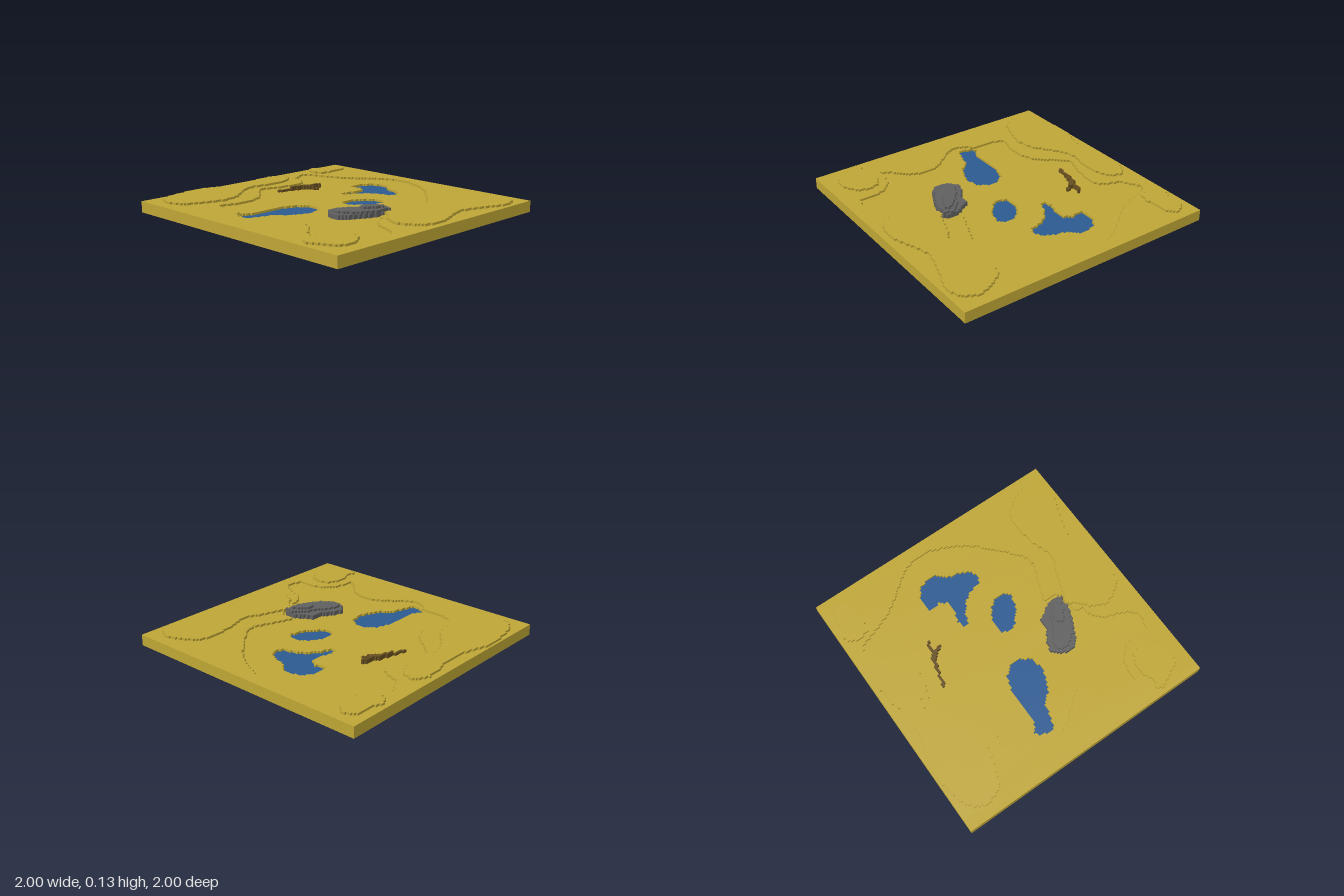
import * as THREE from 'three';

const N = 120, CELL = 2 / N; // grid cells per side, and cell size (also the layer height)
const material = (name, color) => new THREE.MeshStandardMaterial({ name, color });

// Outlines as x, z pairs
const basin = [-.9, -.5, -.87, -.55, -.73, -.6, -.62, -.64, -.52, -.7, -.42, -.78, -.33, -.85, -.22, -.9, -.08, -.9, .03, -.86,
  .13, -.81, .24, -.73, .33, -.63, .42, -.53, .5, -.43, .51, -.35, .46, -.24, .42, -.13, .39, -.07, .44, -.06, .5, -.07, .53, -.02,
  .53, .12, .6, .14, .61, .22, .7, .3, .8, .33, .88, .38, .91, .43, .87, .54, .74, .53, .66, .56, .59, .64, .57, .72, .56, .8,
  .5, .77, .44, .7, .36, .63, .22, .61, .12, .66, .03, .73, -.05, .79, -.13, .8, -.2, .77, -.25, .71, -.42, .71, -.49, .7,
  -.5, .64, -.46, .53, -.46, .42, -.52, .28, -.65, .18, -.71, .12, -.71, .05, -.67, -.05, -.65, -.18, -.66, -.28, -.72, -.33, -.82, -.36];
const hills = [
  [-.9, -.3, -.82, -.28, -.76, -.2, -.75, 0, -.78, .12, -.75, .22, -.68, .33, -.6, .43, -.57, .58, -.6, .7, -.66, .85, -.72, .9,
    -.82, .92, -.9, .87, -.95, .78, -.98, .6, -.98, .45, -.93, .3, -.91, .17, -.92, .02, -.95, -.08, -.96, -.2],
  [.52, 0, .55, -.03, .57, -.1, .6, -.2, .64, -.25, .65, -.36, .6, -.5, .58, -.7, .6, -.8, .7, -.87, .82, -.92, .93, -.87, .96, -.8,
    .96, -.7, .9, -.55, .85, -.37, .88, -.25, .94, -.1, .96, .02, .92, .13, .82, .2, .75, .22, .65, .17, .58, .08, .52, .05],
  [-.97, -.68, -.93, -.75, -.94, -.85, -.9, -.92, -.83, -.93, -.79, -.88, -.79, -.78, -.77, -.7, -.79, -.62, -.87, -.6, -.93, -.62],
  [.65, .95, .67, .88, .64, .82, .63, .72, .67, .64, .75, .61, .83, .64, .89, .72, .91, .8, .87, .88, .77, .92, .7, .96],
];
const ponds = [
  [-.33, -.5, -.33, -.62, -.29, -.69, -.21, -.72, -.14, -.71, -.08, -.65, .03, -.62, .1, -.58, .12, -.51, .09, -.47, 0, -.45,
    -.06, -.41, -.12, -.34, -.15, -.26, -.2, -.24, -.21, -.31, -.18, -.39, -.18, -.47, -.24, -.51],
  [0, -.06, 0, -.17, .05, -.25, .1, -.3, .19, -.3, .23, -.26, .22, -.19, .18, -.12, .12, -.05, .08, -.03, .03, -.04],
  [-.2, .35, -.16, .24, -.09, .19, 0, .19, .06, .24, .08, .32, .07, .4, .02, .5, -.06, .56, -.08, .65, -.11, .74, -.16, .75,
    -.23, .73, -.25, .69, -.21, .65, -.2, .5],
];
const rockTiers = [
  [.2, .28, .22, .21, .28, .12, .28, .04, .36, 0, .41, -.03, .5, -.03, .51, .07, .46, .2, .42, .28, .37, .34, .3, .35, .24, .32],
  [.25, .25, .27, .2, .33, .12, .37, .03, .44, -.03, .51, -.02, .5, .1, .45, .2, .4, .27, .33, .31, .26, .31],
  [.36, .1, .4, .03, .46, 0, .48, .02, .46, .08, .41, .15, .37, .14],
];
const branches = [
  [-.57, .04, -.55, -.05, -.53, -.12, -.5, -.2, -.48, -.3],
  [-.52, -.17, -.47, -.2, -.43, -.22],
];

const toPoints = (flat) => {
  const points = [];
  for (let i = 0; i < flat.length; i += 2) points.push(new THREE.Vector2(flat[i], flat[i + 1]));
  return points;
};

function inside(polygon, x, z) {
  let hit = false;
  polygon.forEach((a, i) => {
    const b = polygon[(i + 1) % polygon.length];
    if ((a.y > z) !== (b.y > z) && x < a.x + (b.x - a.x) * (z - a.y) / (b.y - a.y)) hit = !hit;
  });
  return hit;
}

export function createModel() {
  const model = new THREE.Group();
  model.name = 'terrainTile';
  const level = new Array(N * N).fill(5); // height in layers
  const kind = new Array(N * N).fill('ground');

  // Stamp each outline onto the grid
  const stamp = (flat, height, name) => {
    const polygon = toPoints(flat);
    for (let j = 0; j < N; j++) for (let i = 0; i < N; i++) {
      if (!inside(polygon, -1 + (i + .5) * CELL, -1 + (j + .5) * CELL)) continue;
      level[j * N + i] = height;
      kind[j * N + i] = name;
    }
  };
  stamp(basin, 4, 'ground');
  hills.forEach((h) => stamp(h, 6, 'ground'));
  ponds.forEach((p) => stamp(p, 3, 'water'));
  rockTiers.forEach((r, n) => stamp(r, 6 + n, 'rock'));

  // Fallen branch, one cell wide with lower tips
  for (const b of branches) {
    const points = toPoints(b);
    for (let s = 0; s < points.length - 1; s++) for (let t = 0; t <= 1; t += .05) {
      const p = points[s].clone().lerp(points[s + 1], t);
      const c = Math.floor((p.y + 1) / CELL) * N + Math.floor((p.x + 1) / CELL);
      level[c] = p.x > -.55 && p.x < -.45 ? 6 : 5;
      kind[c] = 'branch';
    }
  }

  // Faces of the stepped surface, gathered by part
  const faces = { ground: [], water: [], rock: [], branch: [] };
  const quad = (out, a, b, c, d) => out.push(...a, ...b, ...c, ...a, ...c, ...d);
  const at = (i, j) => (i < 0 || j < 0 || i >= N || j >= N ? 0 : level[j * N + i]);
  for (let j = 0; j < N; j++) {
    const z0 = -1 + j * CELL, z1 = z0 + CELL;
    for (let i = 0, start = 0; i < N; i++) {
      const c = j * N + i, out = faces[kind[c]], h = level[c], y = h * CELL;
      const x0 = -1 + i * CELL, x1 = x0 + CELL;
      // One top strip for each run of equal cells
      if (i === N - 1 || level[c + 1] !== h || kind[c + 1] !== kind[c]) {
        const xs = -1 + start * CELL;
        quad(out, [xs, y, z0], [xs, y, z1], [x1, y, z1], [x1, y, z0]);
        start = i + 1;
      }
      // Walls down to lower neighbours
      const wall = (di, dj, ax, az, bx, bz) => {
        const low = at(i + di, j + dj) * CELL;
        if (low < y) quad(out, [ax, low, az], [bx, low, bz], [bx, y, bz], [ax, y, az]);
      };
      wall(0, 1, x0, z1, x1, z1);
      wall(0, -1, x1, z0, x0, z0);
      wall(1, 0, x1, z1, x1, z0);
      wall(-1, 0, x0, z0, x0, z1);
    }
  }
  // Underside
  quad(faces.ground, [-1, 0, -1], [1, 0, -1], [1, 0, 1], [-1, 0, 1]);

  const materials = {
    ground: material('dry grass', 0xbfa636),
    water: material('water blue', 0x2b5a92),
    rock: material('rock grey', 0x606060),
    branch: material('wood brown', 0x664e20),
  };
  for (const name in faces) {
    const geometry = new THREE.BufferGeometry();
    geometry.setAttribute('position', new THREE.Float32BufferAttribute(faces[name], 3));
    geometry.computeVertexNormals();
    const mesh = new THREE.Mesh(geometry, materials[name]);
    mesh.name = name;
    model.add(mesh);
  }
  return model;
}
